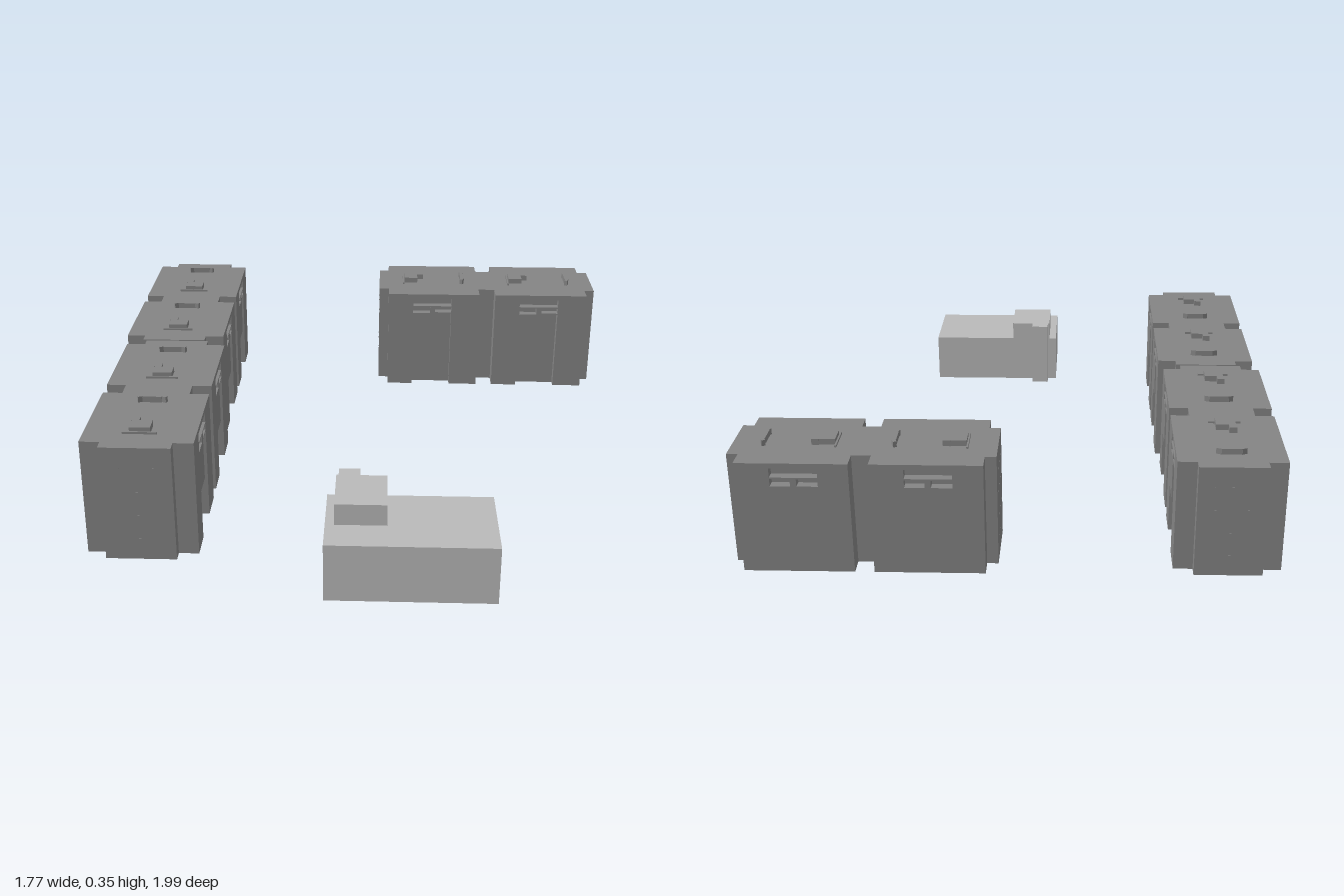
import * as THREE from 'three';

const H = 0.33;          // wall height
const HALF_L = 0.154;    // half length of a section
const HALF_W = 0.15;     // half width of a section
const WALL = 0.026;      // depth of the facade recesses
const blockMat = new THREE.MeshStandardMaterial({ color: 0x848484, flatShading: true });
const hallMat = new THREE.MeshStandardMaterial({ color: 0xbababa, flatShading: true });

// Box given by its limits on each axis
function box(parent, name, x0, x1, y0, y1, z0, z1, mat = blockMat) {
  const m = new THREE.Mesh(new THREE.BoxGeometry(x1 - x0, y1 - y0, z1 - z0), mat);
  m.position.set((x0 + x1) / 2, (y0 + y1) / 2, (z0 + z1) / 2);
  m.name = name;
  parent.add(m);
  return m;
}

const points = (pts) => pts.map(([x, y]) => new THREE.Vector2(x, y));
const rect = (x0, x1, y0, y1) => new THREE.Path(points([[x0, y0], [x0, y1], [x1, y1], [x1, y0]]));

// Facade plate with window slots, and on the entrance side a stepped doorway
function facade(parent, name, z, entrance) {
  const outline = [[-HALF_L, 0]];
  if (entrance) outline.push([-0.06, 0], [-0.06, 0.262], [-0.005, 0.262], [-0.005, 0.144], [0.07, 0.144], [0.07, 0]);
  outline.push([HALF_L, 0], [HALF_L, H], [-HALF_L, H]);
  const shape = new THREE.Shape(points(outline));
  shape.holes.push(rect(-0.06, 0.07, 0.288, 0.315), rect(0.012, 0.07, 0.262, 0.284));
  shape.holes.push(rect(-0.06, -0.005, entrance ? 0.266 : 0.262, 0.284));
  const m = new THREE.Mesh(new THREE.ExtrudeGeometry(shape, { depth: WALL, bevelEnabled: false }), blockMat);
  m.position.z = z;
  m.name = name;
  parent.add(m);
}

// One stairwell section: hollow below, closed by the roof
function section() {
  const g = new THREE.Group();
  g.name = 'section';
  facade(g, 'entranceFacade', -HALF_W, true);
  facade(g, 'rearFacade', HALF_W - WALL, false);
  const inner = HALF_W - WALL;
  box(g, 'entranceLiner', -0.15, 0.15, 0, H - 0.012, -inner, -inner + 0.006);
  box(g, 'rearLiner', -0.15, 0.15, 0, H - 0.012, inner - 0.006, inner);
  box(g, 'roofSlab', -HALF_L, HALF_L, H - 0.012, H, -inner, inner);
  for (const s of [-1, 1]) {
    const [a, b] = s < 0 ? [-HALF_L, -HALF_L + 0.014] : [HALF_L - 0.014, HALF_L];
    box(g, 'endWall', a, b, 0, H, -inner, inner);
    const [c, d] = s < 0 ? [-0.186, -HALF_L] : [HALF_L, 0.186];
    box(g, 'gableCore', c, d, 0, H, -0.095, 0.095);
    // tiny gable vents
    for (let row = 0; row < 4; row++)
      for (const z of [-0.045, 0, 0.045])
        box(g, 'gableVent', s * 0.186 - 0.001, s * 0.186 + 0.001, 0.06 + row * 0.07, 0.062 + row * 0.07, z - 0.003, z + 0.003);
  }

  // rooms and stairwell inside
  box(g, 'spineWall', -0.138, 0.138, 0, H - 0.012, 0.03, 0.04);
  for (const x of [-0.065, 0.065]) box(g, 'stairwellWall', x - 0.004, x + 0.004, 0, H - 0.012, -0.12, 0.03);
  for (let i = 0; i < 4; i++) box(g, 'stairStep', -0.05, 0, 0.03 * i, 0.03 * (i + 1), -0.09 + 0.022 * i, -0.068 + 0.022 * i);
  box(g, 'rearPartition', -0.005, 0.005, 0, H - 0.012, 0.04, 0.12);

  // roof vent: bent bar across the roof
  box(g, 'roofVent', -0.106, -0.094, H, 0.347, -0.027, 0.027);
  for (const s of [-1, 1]) {
    const wing = box(g, 'roofVentWing', -0.104, -0.094, H, 0.347, s * 0.033 - 0.008, s * 0.033 + 0.008);
    wing.rotation.y = s * 0.4;
  }
  // roof stair head with a low parapet strip and chimney
  box(g, 'stairHead', 0.055, 0.1, H, 0.347, -0.028, 0.028);
  box(g, 'stairHeadParapet', 0.1, 0.105, H, 0.336, -0.046, 0.046);
  box(g, 'chimney', 0.034, 0.055, H, 0.347, 0.008, 0.03);
  return g;
}

// Apartment block made of two joined sections
function apartmentBlock(name, x, z, degrees) {
  const g = new THREE.Group();
  g.name = name;
  for (const s of [-1, 1]) {
    const part = section();
    part.position.x = s * 0.181;
    g.add(part);
  }
  g.position.set(x, 0, z);
  g.rotation.y = THREE.MathUtils.degToRad(degrees);
  return g;
}

// Plain low hall with a stair tower in one corner
function lowHall() {
  const g = new THREE.Group();
  g.name = 'lowHall';
  box(g, 'hall', 0, 0.44, 0.008, 0.168, 0.735, 0.994, hallMat);
  box(g, 'towerTop', 0.024, 0.159, 0.168, 0.227, 0.735, 0.893, hallMat);
  box(g, 'towerPorch', 0.03, 0.087, 0.008, 0.227, 0.699, 0.735, hallMat);
  g.position.set(0.006, 0, 0.008);
  g.rotation.y = Math.PI / 6;
  return g;
}

export function createModel() {
  const model = new THREE.Group();
  model.name = 'housingEstate';
  model.add(
    apartmentBlock('frontApartmentBlock', -0.203, 0.632, -60),
    apartmentBlock('middleApartmentBlock', -0.584, -0.004, -60),
    apartmentBlock('backApartmentBlock', 0.172, -0.699, -150),
    lowHall(),
  );
  return model;
}
